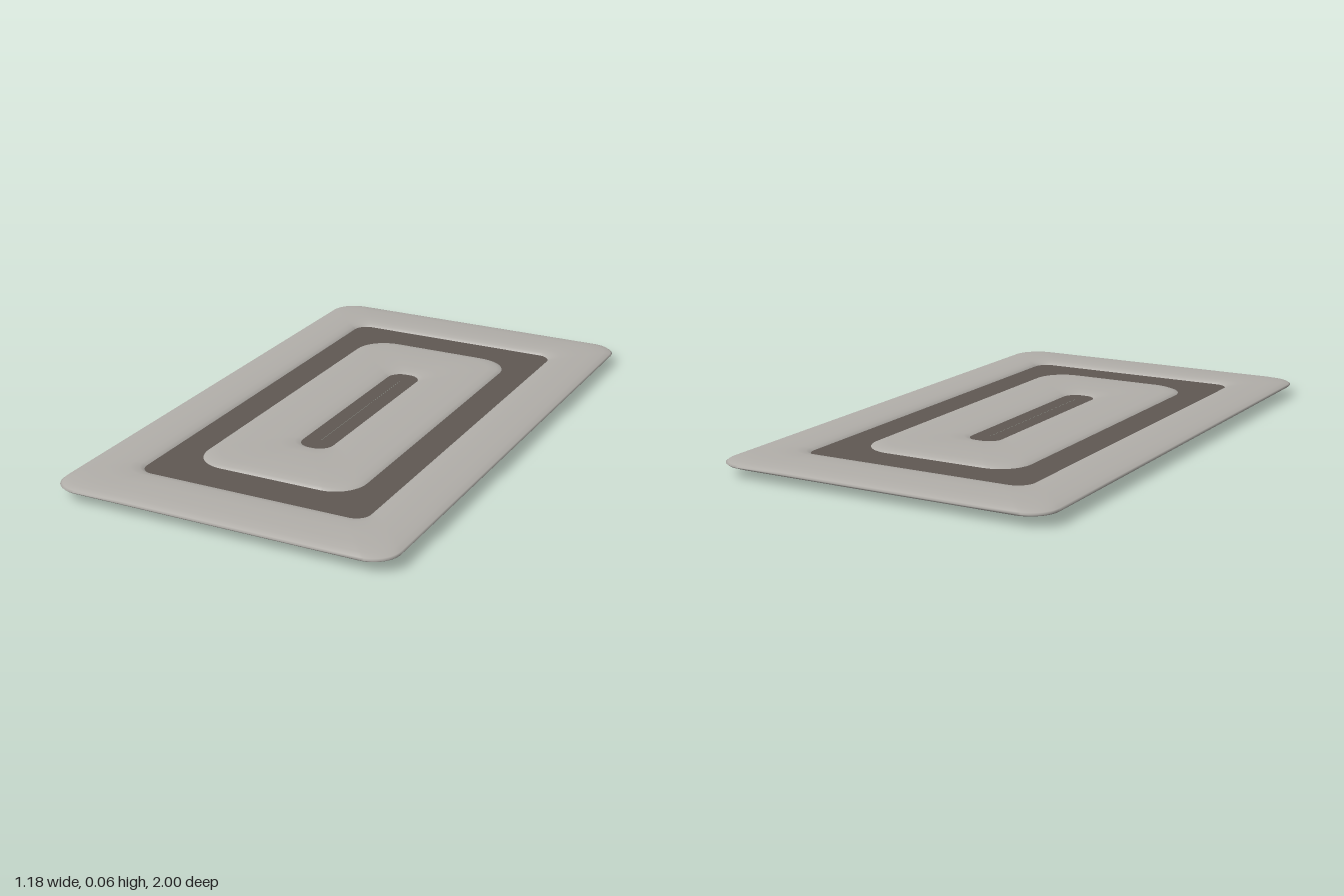
import * as THREE from 'three';

const CORNER = 12; // steps per rounded corner
const EDGE = 6;    // steps per straight edge

// Rounded rectangle in the xz plane: half width, half length, corner radius
function outline([w, l, r, y]) {
  const corners = [];
  for (let q = 0; q < 4; q++) {
    const sx = q === 0 || q === 3 ? 1 : -1, sz = q < 2 ? 1 : -1;
    for (let i = 0; i <= CORNER; i++) {
      const t = (q + i / CORNER) * Math.PI / 2;
      corners.push([sx * (w - r) + r * Math.cos(t), y, sz * (l - r) + r * Math.sin(t)]);
    }
  }
  const points = [];
  corners.forEach((p, i) => {
    points.push(p);
    if (i % (CORNER + 1) !== CORNER) return;
    const n = corners[(i + 1) % corners.length];
    for (let k = 1; k < EDGE; k++) points.push(p.map((v, a) => v + (n[a] - v) * k / EDGE));
  });
  return points;
}

// Skin over successive outlines
function loft(name, rings, material) {
  const loops = rings.map(outline), n = loops[0].length, index = [];
  for (let i = 0; i < loops.length - 1; i++) {
    for (let j = 0; j < n; j++) {
      const a = i * n + j, b = i * n + (j + 1) % n;
      index.push(a, a + n, b, b, a + n, b + n);
    }
  }
  const geometry = new THREE.BufferGeometry();
  geometry.setAttribute('position', new THREE.Float32BufferAttribute(loops.flat(2), 3));
  geometry.setIndex(index);
  geometry.computeVertexNormals();
  const mesh = new THREE.Mesh(geometry, material);
  mesh.name = name;
  return mesh;
}

export function createModel() {
  const light = new THREE.MeshStandardMaterial({ color: 0xb1aea9 });
  light.name = 'light grey';
  const dark = new THREE.MeshStandardMaterial({ color: 0x5f5853 });
  dark.name = 'dark brown';

  const group = new THREE.Group();
  group.name = 'rug';

  // Shallow bowed underside, thin rim and padded border
  group.add(loft('border', [
    [0.001, 0.3, 0.0005, 0], [0.2, 0.55, 0.08, 0.003], [0.35, 0.75, 0.09, 0.007],
    [0.46, 0.87, 0.09, 0.013], [0.53, 0.94, 0.09, 0.02], [0.572, 0.982, 0.09, 0.029],
    [0.586, 0.996, 0.09, 0.035], [0.59, 1, 0.09, 0.04], [0.585, 0.995, 0.09, 0.045],
    [0.565, 0.975, 0.09, 0.051], [0.53, 0.935, 0.09, 0.055], [0.48, 0.87, 0.08, 0.058],
    [0.44, 0.82, 0.07, 0.057], [0.415, 0.795, 0.06, 0.053], [0.402, 0.782, 0.05, 0.046],
    [0.4, 0.78, 0.05, 0.042],
  ], light));

  // Flat dark band between the border and the centre pad
  group.add(loft('band', [[0.405, 0.785, 0.05, 0.045], [0.28, 0.64, 0.1, 0.045]], dark));

  // Padded centre with an elongated opening
  group.add(loft('centrePad', [
    [0.292, 0.65, 0.11, 0.042], [0.29, 0.648, 0.11, 0.046], [0.277, 0.635, 0.11, 0.052],
    [0.25, 0.605, 0.1, 0.056], [0.18, 0.52, 0.09, 0.058], [0.11, 0.43, 0.07, 0.056],
    [0.075, 0.39, 0.06, 0.052], [0.058, 0.373, 0.05, 0.046], [0.055, 0.37, 0.05, 0.042],
  ], light));

  // Dark stripe in the opening
  group.add(loft('centreStripe', [[0.06, 0.375, 0.05, 0.045], [0.0005, 0.3, 0.0005, 0.045]], dark));

  return group;
}
